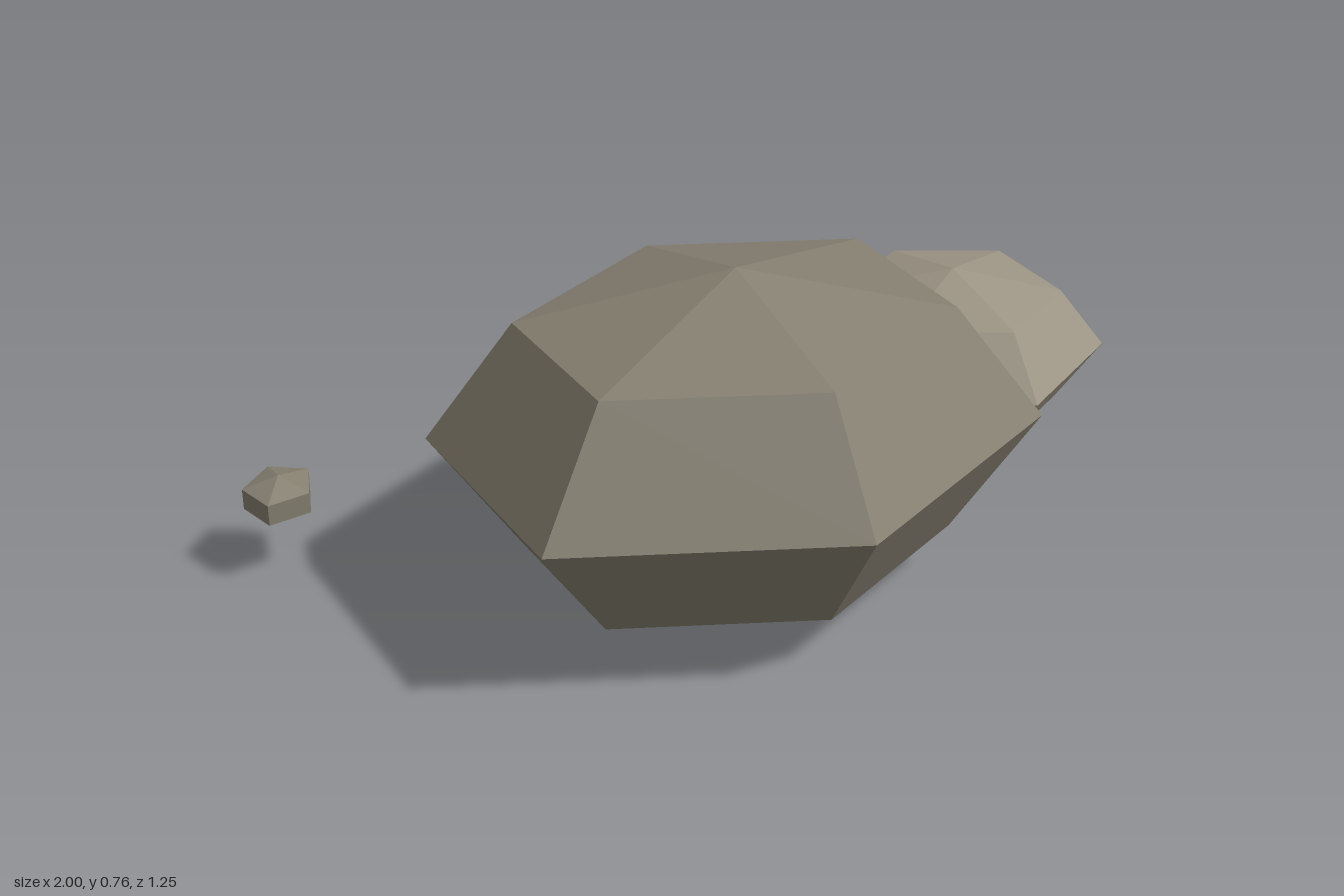
import * as THREE from 'three';

// One faceted rock: a coarse sphere, stretched, turned about y and placed
function makeRock({ name, sides, rings, radii, turn, at, color }) {
  const geometry = new THREE.SphereGeometry(1, sides, rings);
  const material = new THREE.MeshStandardMaterial({ color, flatShading: true });
  const rock = new THREE.Mesh(geometry, material);
  rock.name = name;
  rock.scale.set(...radii);
  rock.rotation.y = turn;
  rock.position.set(...at);
  return rock;
}

export function createModel() {
  const group = new THREE.Group();
  group.name = 'rockCluster';

  const rocks = [
    // Two six-sided boulders, points facing front and back
    { name: 'largeBoulder', sides: 6, rings: 4, radii: [0.57, 0.38, 0.697], turn: Math.PI / 2, at: [-0.073, 0.383, 0.053], color: 0x857f70 },
    { name: 'mediumBoulder', sides: 6, rings: 4, radii: [0.362, 0.199, 0.364], turn: Math.PI / 2, at: [0.684, 0.262, -0.248], color: 0x9c9484 },
    // Two five-sided pebbles behind
    { name: 'backPebble', sides: 5, rings: 3, radii: [0.121, 0.086, 0.151], turn: 0.866, at: [0.183, 0.197, -0.517], color: 0x968e7e },
    { name: 'sidePebble', sides: 5, rings: 3, radii: [0.111, 0.049, 0.092], turn: 0.95, at: [-0.919, 0.176, -0.508], color: 0x857f70 },
  ];
  for (const rock of rocks) group.add(makeRock(rock));

  return group;
}
